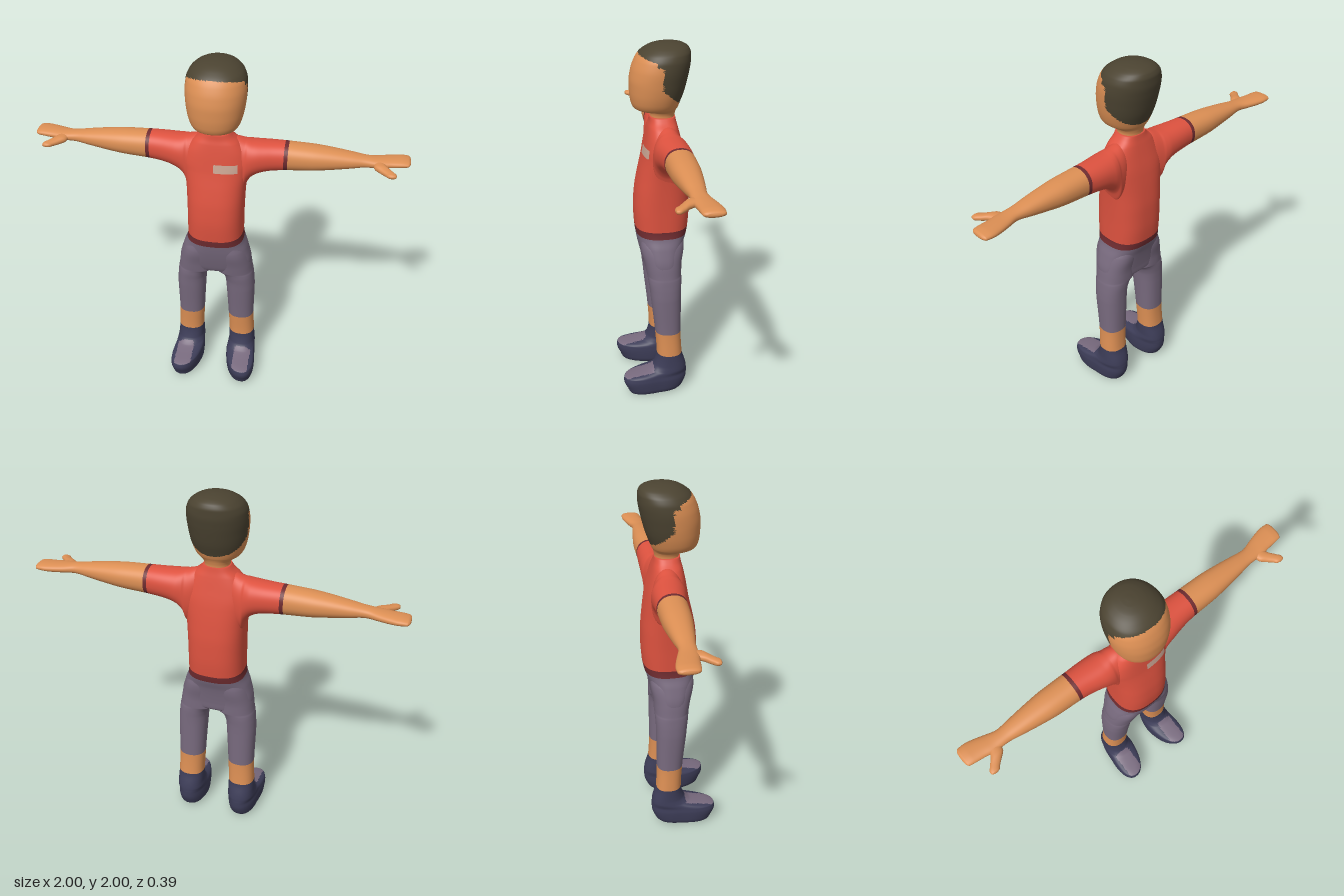
import * as THREE from 'three';

const material = (name, color) => {
  const m = new THREE.MeshStandardMaterial({ color });
  m.name = name;
  return m;
};
const skin = material('skin', 0xdc8f54);
const red = material('red cloth', 0xdd523f);
const maroon = material('maroon trim', 0x6f2c30);
const mauve = material('mauve cloth', 0x786a7e);
const navy = material('navy shoe', 0x3d3d58);
const brown = material('brown hair', 0x4b4331);
const beige = material('beige badge', 0xcaa593);

// Monotone smooth interpolation of cross-section rows [t, aMin, aMax, bMin, bMax]
function section(keys, i, f) {
  const span = (k) => keys[k + 1][0] - keys[k][0];
  const slope = (k, c) => (keys[k + 1][c] - keys[k][c]) / span(k);
  const tangent = (k, c) => {
    if (k === 0) return slope(0, c);
    if (k === keys.length - 1) return slope(k - 1, c);
    const p = slope(k - 1, c), q = slope(k, c);
    return p * q <= 0 ? 0 : (2 * p * q) / (p + q);
  };
  const h = span(i), g = 1 - f;
  return keys[i].map((v, c) => c === 0 ? v + h * f
    : g * g * (1 + 2 * f) * v + f * f * (3 - 2 * f) * keys[i + 1][c]
      + h * f * g * (g * tangent(i, c) - f * tangent(i + 1, c)));
}

const around = 64;

// Skins superellipse sections along an axis. rule(x, y, z) picks [name, material] per face;
// the resulting meshes share one set of smooth normals. side = -1 mirrors across x.
function loft(group, axis, keys, rule, { power = 2.2, side = 1, steps = 5, warp = (p) => p } = {}) {
  const rows = [];
  for (let i = 0; i < keys.length - 1; i++)
    for (let s = 0; s < steps; s++) rows.push(section(keys, i, s / steps));
  rows.push(keys[keys.length - 1]);

  const points = [];
  const place = (t, a, b) =>
    points.push(warp(axis === 'y' ? [a, t, b] : axis === 'x' ? [t, a, b] : [a, b, t]));
  const bend = (v) => Math.sign(v) * Math.abs(v) ** (2 / power);
  for (const [t, a0, a1, b0, b1] of rows)
    for (let j = 0; j < around; j++) {
      const u = (j / around) * Math.PI * 2;
      place(t, (a0 + a1) / 2 + (a1 - a0) / 2 * bend(Math.cos(u)),
        (b0 + b1) / 2 + (b1 - b0) / 2 * bend(Math.sin(u)));
    }
  for (const [t, a0, a1, b0, b1] of [rows[0], rows[rows.length - 1]])
    place(t, (a0 + a1) / 2, (b0 + b1) / 2);

  const faces = [];
  const last = (rows.length - 1) * around, cap = rows.length * around;
  for (let j = 0; j < around; j++) {
    const k = (j + 1) % around;
    for (let r = 0; r < last; r += around)
      faces.push([r + j, r + k, r + around + k], [r + j, r + around + k, r + around + j]);
    faces.push([cap, k, j], [cap + 1, last + j, last + k]);
  }
  const flip = (axis === 'y') !== (side < 0);
  const parts = new Map();
  const all = [];
  for (const [a, b, c] of faces) {
    const mid = [0, 1, 2].map((n) => (points[a][n] + points[b][n] + points[c][n]) / 3);
    const [name, mat] = rule(...mid);
    if (!parts.has(name)) parts.set(name, { mat, index: [] });
    const face = flip ? [a, c, b] : [a, b, c];
    parts.get(name).index.push(...face);
    all.push(...face);
  }
  const whole = new THREE.BufferGeometry();
  whole.setAttribute('position',
    new THREE.Float32BufferAttribute(points.flatMap(([x, y, z]) => [x * side, y, z]), 3));
  whole.setIndex(all);
  whole.computeVertexNormals();
  for (const [name, { mat, index }] of parts) {
    const geometry = new THREE.BufferGeometry();
    geometry.setAttribute('position', whole.attributes.position);
    geometry.setAttribute('normal', whole.attributes.normal);
    geometry.setIndex(index);
    const mesh = new THREE.Mesh(geometry, mat);
    mesh.name = name;
    group.add(mesh);
  }
}

// Symmetric sections: [y, half width, back z, front z]
const symmetric = (rows) => rows.map(([y, w, z0, z1]) => [y, -w, w, z0, z1]);

const torso = symmetric([
  [0.735, 0.06, -0.09, 0], [0.745, 0.15, -0.125, 0.035], [0.76, 0.19, -0.135, 0.05],
  [0.8, 0.203, -0.14, 0.065], [0.9, 0.18, -0.158, 0.09], [0.96, 0.158, -0.177, 0.1],
  [1.0, 0.153, -0.184, 0.105], [1.1, 0.153, -0.19, 0.11], [1.2, 0.155, -0.188, 0.103],
  [1.3, 0.16, -0.178, 0.085], [1.4, 0.175, -0.163, 0.062], [1.44, 0.18, -0.155, 0.055],
  [1.5, 0.165, -0.14, 0.045], [1.56, 0.125, -0.125, 0.033], [1.59, 0.09, -0.117, 0.025],
  [1.615, 0.07, -0.112, 0.022],
]);
const head = symmetric([
  [1.58, 0.066, -0.108, 0.018], [1.62, 0.067, -0.11, 0.018], [1.642, 0.074, -0.115, 0.022],
  [1.655, 0.1, -0.12, 0.085], [1.668, 0.117, -0.127, 0.108], [1.7, 0.133, -0.139, 0.12],
  [1.75, 0.146, -0.157, 0.126], [1.8, 0.153, -0.17, 0.127], [1.86, 0.157, -0.183, 0.118],
  [1.91, 0.153, -0.19, 0.1], [1.945, 0.139, -0.19, 0.078], [1.97, 0.113, -0.181, 0.047],
  [1.988, 0.077, -0.156, 0.01], [1.997, 0.04, -0.12, -0.03], [2.0, 0.01, -0.085, -0.065],
]);
const leg = [
  [0.003, 0.11, 0.21, -0.1, 0.13], [0.012, 0.085, 0.23, -0.13, 0.165],
  [0.04, 0.073, 0.24, -0.15, 0.178], [0.09, 0.07, 0.243, -0.167, 0.198],
  [0.115, 0.071, 0.24, -0.168, 0.194], [0.125, 0.072, 0.239, -0.168, 0.165],
  [0.137, 0.074, 0.238, -0.167, 0.1], [0.15, 0.076, 0.236, -0.166, 0.05],
  [0.18, 0.08, 0.232, -0.16, 0.018], [0.25, 0.08, 0.228, -0.14, 0.003],
  [0.39, 0.074, 0.222, -0.133, 0.012], [0.6, 0.062, 0.225, -0.133, 0.035],
  [0.66, 0.057, 0.222, -0.134, 0.041], [0.7, 0.045, 0.218, -0.136, 0.047],
  [0.725, 0.025, 0.215, -0.137, 0.05], [0.74, 0, 0.212, -0.138, 0.053],
  [0.8, 0, 0.203, -0.14, 0.064], [0.9, 0, 0.176, -0.154, 0.084], [0.95, 0.02, 0.145, -0.15, 0.08],
];
const arm = [
  [0.05, 1.35, 1.56, -0.1, 0], [0.1, 1.27, 1.578, -0.135, 0.018], [0.15, 1.27, 1.567, -0.15, 0.025],
  [0.168, 1.325, 1.564, -0.154, 0.026], [0.2, 1.365, 1.56, -0.158, 0.024],
  [0.25, 1.388, 1.558, -0.158, 0.015], [0.3, 1.398, 1.557, -0.157, 0.006],
  [0.355, 1.404, 1.556, -0.155, 0], [0.375, 1.406, 1.555, -0.155, -0.001],
  [0.5, 1.415, 1.549, -0.154, -0.006], [0.6, 1.428, 1.539, -0.146, -0.017],
  [0.7, 1.444, 1.525, -0.135, -0.031], [0.78, 1.457, 1.513, -0.126, -0.042],
  [0.85, 1.459, 1.508, -0.144, -0.042], [0.9, 1.461, 1.508, -0.158, -0.05],
  [0.95, 1.465, 1.508, -0.167, -0.055], [0.985, 1.47, 1.504, -0.165, -0.06],
  [0.997, 1.478, 1.497, -0.15, -0.075], [1.0, 1.483, 1.49, -0.13, -0.1],
];
const thumb = [
  [-0.085, 0.805, 0.86, 1.468, 1.502], [-0.03, 0.815, 0.887, 1.462, 1.5],
  [0, 0.845, 0.913, 1.46, 1.494], [0.025, 0.873, 0.93, 1.461, 1.49],
  [0.038, 0.884, 0.928, 1.465, 1.487], [0.044, 0.899, 0.913, 1.473, 1.479],
];

const hairline = (z) => z > 0 ? 1.92 + 0.3 * z : z > -0.03 ? 1.9 : 1.78 + (z + 0.03) * 0.9;

// Thin chest badge that follows the curve of the shirt
function badge() {
  const geometry = new THREE.PlaneGeometry(0.125, 0.047, 12, 4).translate(0.0625, 1.438, 0);
  const p = geometry.attributes.position;
  for (let n = 0; n < p.count; n++) {
    const y = p.getY(n);
    const i = torso.findIndex((row) => row[0] > y) - 1;
    const [, , w, z0, z1] = section(torso, i, (y - torso[i][0]) / (torso[i + 1][0] - torso[i][0]));
    const bulge = (1 - (p.getX(n) / w) ** 2.6) ** (1 / 2.6);
    p.setZ(n, (z0 + z1) / 2 + (z1 - z0) / 2 * bulge + 0.004);
  }
  geometry.computeVertexNormals();
  const mesh = new THREE.Mesh(geometry, beige);
  mesh.name = 'chestBadge';
  return mesh;
}

export function createModel() {
  const model = new THREE.Group();
  model.name = 'figure';

  loft(model, 'y', torso, (x, y) => y < 0.96 ? ['trouserTop', mauve]
    : y < 1 ? ['shirtHem', maroon] : ['shirt', red], { power: 2.6 });
  model.add(badge());
  loft(model, 'y', head, (x, y, z) => y > hairline(z) ? ['hair', brown] : ['headAndNeck', skin],
    { power: 2.15, steps: 7 });

  for (const side of [1, -1]) {
    const limb = (name) => {
      const g = new THREE.Group();
      g.name = (side > 0 ? 'left' : 'right') + name;
      model.add(g);
      return g;
    };
    const armGroup = limb('Arm');
    loft(armGroup, 'x', arm, (x) => x < 0.355 ? ['sleeve', red]
      : x < 0.375 ? ['cuff', maroon] : ['forearmAndHand', skin], { side });
    loft(armGroup, 'z', thumb, () => ['thumb', skin], { side });

    // Leg, sock gap and shoe; the toes turn slightly outward
    const onTongue = (x, y, z) => y > 0.116 && z > 0.025 && x > 0.125 && x < 0.222;
    loft(limb('Leg'), 'y', leg, (x, y, z) => y > 0.39 ? ['trouserLeg', mauve]
      : y > 0.25 ? ['shin', skin] : onTongue(x, y, z) ? ['shoeTop', mauve] : ['shoe', navy], {
      side, power: 2.3,
      warp: ([x, y, z]) => [y < 0.25 ? x + 0.15 * Math.max(0, z) : x, y, z],
    });
  }
  return model;
}
